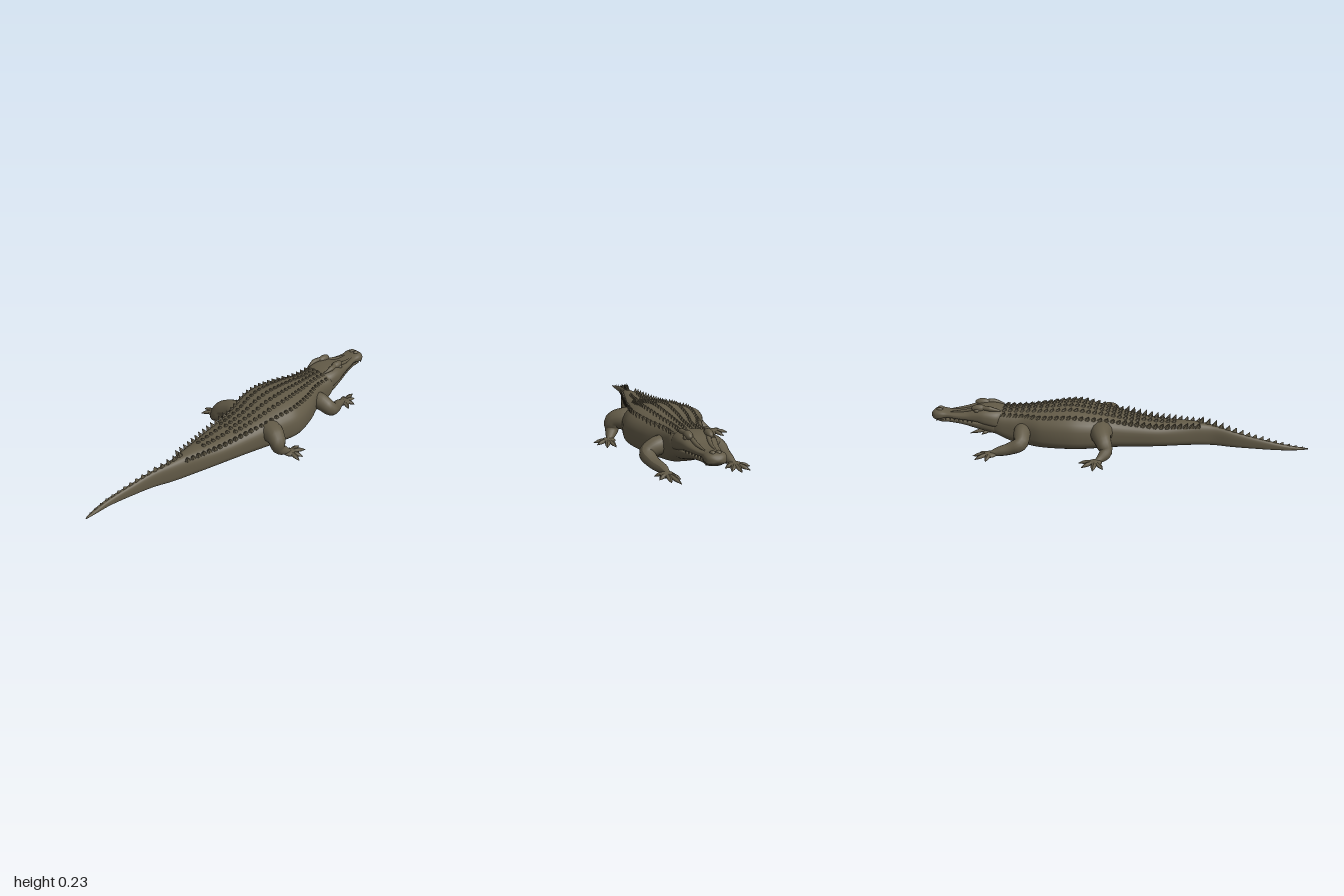
import * as THREE from 'three';
import { mergeGeometries } from 'three/addons/utils/BufferGeometryUtils.js';

const hide = new THREE.MeshStandardMaterial({ color: 0x625a47, side: THREE.DoubleSide });
hide.name = 'olive hide';

// Section rows: z, centre x, half width, bottom y, top y, height of widest point
const BODY = [
  [-0.70, 0.00, 0.070, 0.095, 0.195, 0.14], [-0.64, 0.01, 0.098, 0.065, 0.205, 0.13],
  [-0.57, 0.01, 0.103, 0.030, 0.205, 0.12], [-0.50, 0.015, 0.115, 0.015, 0.207, 0.11],
  [-0.40, 0.020, 0.160, 0.010, 0.214, 0.10], [-0.25, 0.035, 0.195, 0.010, 0.224, 0.10],
  [-0.15, 0.037, 0.183, 0.010, 0.212, 0.10], [-0.05, 0.045, 0.152, 0.010, 0.190, 0.10],
  [0.05, 0.043, 0.128, 0.010, 0.168, 0.09], [0.20, 0.040, 0.100, 0.012, 0.145, 0.08],
  [0.33, 0.043, 0.068, 0.013, 0.140, 0.07], [0.42, 0.044, 0.046, 0.013, 0.135, 0.07],
  [0.50, 0.038, 0.030, 0.013, 0.120, 0.06], [0.60, 0.014, 0.021, 0.013, 0.098, 0.05],
  [0.70, 0.000, 0.018, 0.013, 0.076, 0.04], [0.85, -0.013, 0.015, 0.013, 0.047, 0.028],
  [0.95, -0.006, 0.011, 0.013, 0.028, 0.02], [1.00, 0.003, 0.003, 0.014, 0.020, 0.017]];
const UPPER_JAW = [
  [-0.997, -0.010, 0.022, 0.155, 0.175, 0.163], [-0.98, -0.010, 0.045, 0.142, 0.190, 0.162],
  [-0.95, -0.010, 0.054, 0.145, 0.194, 0.165], [-0.91, -0.010, 0.050, 0.153, 0.186, 0.168],
  [-0.86, -0.008, 0.060, 0.149, 0.185, 0.165], [-0.80, -0.004, 0.074, 0.146, 0.194, 0.163],
  [-0.75, 0.000, 0.088, 0.140, 0.212, 0.165], [-0.70, 0.003, 0.100, 0.125, 0.218, 0.160],
  [-0.64, 0.006, 0.097, 0.110, 0.212, 0.150], [-0.60, 0.008, 0.070, 0.110, 0.200, 0.150]];
const LOWER_JAW = [
  [-0.98, -0.010, 0.020, 0.137, 0.148, 0.143], [-0.95, -0.010, 0.043, 0.128, 0.150, 0.142],
  [-0.90, -0.009, 0.047, 0.126, 0.152, 0.142], [-0.82, -0.005, 0.064, 0.115, 0.148, 0.138],
  [-0.74, 0.000, 0.082, 0.092, 0.146, 0.130], [-0.66, 0.006, 0.092, 0.068, 0.146, 0.120],
  [-0.60, 0.008, 0.070, 0.050, 0.140, 0.100]];

// Smooth interpolation of a section table at z
function sectionAt(rows, z) {
  let i = 0;
  while (i < rows.length - 2 && z > rows[i + 1][0]) i++;
  const a = rows[i], b = rows[i + 1], p = rows[Math.max(i - 1, 0)], n = rows[Math.min(i + 2, rows.length - 1)];
  const d = b[0] - a[0], t = (z - a[0]) / d;
  const [, cx, w, yb, yt, ym] = a.map((v, k) => {
    const ma = (b[k] - p[k]) / (b[0] - p[0]) * d, mb = (n[k] - v) / (n[0] - a[0]) * d;
    const t2 = t * t, t3 = t2 * t;
    return (2 * t3 - 3 * t2 + 1) * v + (t3 - 2 * t2 + t) * ma + (3 * t2 - 2 * t3) * b[k] + (t3 - t2) * mb;
  });
  return { cx, w, yb, yt, ym };
}
const pow = (v, e) => Math.sign(v) * Math.abs(v) ** e;

// Closed skin through superellipse sections
function loft(rows, rings, top, bottom, n = 40) {
  const pos = [], idx = [], z0 = rows[0][0], z1 = rows.at(-1)[0];
  for (let i = 0; i <= rings; i++) {
    const z = z0 + (z1 - z0) * i / rings, s = sectionAt(rows, z);
    for (let j = 0; j < n; j++) {
      const a = j / n * Math.PI * 2, c = Math.cos(a), h = Math.sin(a);
      const e = h >= 0 ? top : bottom;
      pos.push(s.cx + s.w * pow(c, e), s.ym + pow(h, e) * (h >= 0 ? s.yt - s.ym : s.ym - s.yb), z);
      const k = (j + 1) % n, p = i * n;
      if (i < rings) idx.push(p + j, p + k, p + n + j, p + k, p + n + k, p + n + j);
    }
  }
  for (const [r, row] of [[0, rows[0]], [rings, rows.at(-1)]]) {
    const c = pos.length / 3;
    pos.push(row[1], row[5], row[0]);
    for (let j = 0; j < n; j++) {
      const a = r * n + j, b = r * n + (j + 1) % n;
      idx.push(c, r ? a : b, r ? b : a);
    }
  }
  const g = new THREE.BufferGeometry();
  g.setAttribute('position', new THREE.Float32BufferAttribute(pos, 3));
  g.setIndex(idx);
  g.computeVertexNormals();
  return g;
}

// Tube whose radius follows a list of values along its path
function limb(points, radii, flat = 1, steps = 24, sides = 14) {
  const curve = new THREE.CatmullRomCurve3(points.map(p => new THREE.Vector3(...p)));
  const g = new THREE.TubeGeometry(curve, steps, 1, sides), pos = g.attributes.position;
  const v = new THREE.Vector3();
  for (let i = 0; i < pos.count; i++) {
    const t = Math.floor(i / (sides + 1)) / steps, c = curve.getPointAt(t);
    const f = t * (radii.length - 1), k = Math.min(Math.floor(f), radii.length - 2);
    const r = THREE.MathUtils.lerp(radii[k], radii[k + 1], f - k);
    v.fromBufferAttribute(pos, i).sub(c).multiplyScalar(r);
    pos.setXYZ(i, c.x + v.x, c.y + v.y * flat, c.z + v.z);
  }
  g.computeVertexNormals();
  return g;
}
function ball(x, y, z, sx, sy, sz) {
  return new THREE.SphereGeometry(1, 16, 12).scale(sx, sy, sz).translate(x, y, z);
}
// Keeled plate whose point leans toward the tail
function scute(x, y, z, w, h, l, lean = 0) {
  const g = new THREE.ConeGeometry(1, 1, 6, 1).toNonIndexed().translate(0, 0.5, 0).scale(w, h, l);
  const p = g.attributes.position;
  for (let i = 0; i < p.count; i++) p.setZ(i, p.getZ(i) + p.getY(i) / h * l * 0.8);
  g.computeVertexNormals();
  return g.rotateZ(lean).translate(x, y, z);
}

export function createModel() {
  const model = new THREE.Group();
  const add = (name, ...geos) => {
    const mesh = new THREE.Mesh(geos.length > 1 ? mergeGeometries(geos) : geos[0], hide);
    mesh.name = name;
    model.add(mesh);
  };
  add('bodyAndTail', loft(BODY, 110, 0.8, 0.6));
  add('upperJaw', loft(UPPER_JAW, 50, 0.75, 0.6));
  add('lowerJaw', loft(LOWER_JAW, 40, 0.6, 0.8));

  // Head bumps, mirrored about the skull
  for (const s of [-1, 1]) {
    const side = s < 0 ? 'right' : 'left';
    add(side + 'Brow', ball(s * 0.050, 0.212, -0.735, 0.021, 0.022, 0.042));
    add(side + 'Eye', ball(s * 0.066, 0.203, -0.745, 0.011, 0.011, 0.015));
    add(side + 'Nostril', ball(-0.010 + s * 0.014, 0.190, -0.955, 0.013, 0.012, 0.018));
    add(side + 'SnoutRidge', limb([[s * 0.042, 0.205, -0.75], [s * 0.032, 0.188, -0.82], [s * 0.024 - 0.008, 0.181, -0.90]], [0.012, 0.010, 0.004]));
    add(side + 'SkullRidge', limb([[s * 0.05, 0.217, -0.73], [s * 0.062, 0.214, -0.67], [s * 0.058, 0.204, -0.62]], [0.012, 0.014, 0.004]));
    const teeth = [];
    for (let i = 0; i < 9; i++) {
      const z = -0.965 + i * 0.024, u = sectionAt(UPPER_JAW, z);
      teeth.push(new THREE.ConeGeometry(0.005, 0.022, 6).rotateX(Math.PI).translate(u.cx + s * u.w * 0.9, u.yb + 0.001, z));
    }
    add(side + 'Teeth', ...teeth);
  }

  // Rows of back plates, following the curve of the back
  const plates = [];
  for (let i = 0; i < 33; i++) {
    const z = -0.61 + i * 0.032, b = sectionAt(BODY, z);
    const rows = z < 0.12 ? 6 : z < 0.3 ? 4 : 2;
    for (let j = 0; j < rows; j++) {
      const u = (j / (rows - 1) * 2 - 1) * 0.74;
      const y = b.ym + (b.yt - b.ym) * (1 - Math.abs(u) ** 2.5) ** 0.4;
      const edge = Math.abs(u) > 0.7, h = edge && z > 0 ? 0.032 : 0.021;
      plates.push(scute(b.cx + b.w * u, y - 0.006, z, Math.min(0.014, b.w * 0.28), h, 0.018, edge ? -u * 0.45 : 0));
    }
  }
  add('backPlates', ...plates);

  // Single crest along the tail
  const crest = [];
  for (let i = 0; i < 16; i++) {
    const z = 0.43 + i * 0.035, b = sectionAt(BODY, z), k = 1 - i / 22;
    crest.push(scute(b.cx, b.yt - 0.008, z, 0.010 * k, 0.042 * k, 0.021));
  }
  add('tailCrest', ...crest);

  // Limbs: path, radii, palm and toe tips
  const legs = [
    ['leftHindLeg', [[0.10, 0.10, -0.09], [0.19, 0.118, -0.075], [0.245, 0.105, -0.055], [0.255, 0.06, -0.06], [0.275, 0.03, -0.10], [0.29, 0.02, -0.125]],
      [0.06, 0.065, 0.055, 0.043, 0.028, 0.01], [0.285, -0.115], [[0.265, -0.205], [0.312, -0.205], [0.35, -0.145], [0.362, -0.105]]],
    ['rightHindLeg', [[-0.03, 0.10, -0.08], [-0.12, 0.115, -0.085], [-0.19, 0.095, -0.065], [-0.215, 0.055, -0.05], [-0.25, 0.03, -0.075], [-0.28, 0.02, -0.10]],
      [0.06, 0.062, 0.05, 0.040, 0.028, 0.01], [-0.28, -0.10], [[-0.265, -0.185], [-0.325, -0.165], [-0.365, -0.105], [-0.34, -0.055]]],
    ['leftFrontLeg', [[0.07, 0.11, -0.50], [0.14, 0.10, -0.515], [0.19, 0.075, -0.53], [0.175, 0.045, -0.59], [0.145, 0.03, -0.66], [0.14, 0.02, -0.72]],
      [0.045, 0.048, 0.04, 0.032, 0.025, 0.012], [0.142, -0.71], [[0.197, -0.685], [0.188, -0.745], [0.145, -0.795], [0.105, -0.825], [0.09, -0.76]]],
    ['rightFrontLeg', [[-0.05, 0.11, -0.50], [-0.12, 0.10, -0.50], [-0.178, 0.07, -0.50], [-0.19, 0.045, -0.555], [-0.202, 0.03, -0.62], [-0.212, 0.02, -0.66]],
      [0.045, 0.046, 0.04, 0.033, 0.026, 0.012], [-0.212, -0.655], [[-0.285, -0.665], [-0.265, -0.725], [-0.215, -0.745], [-0.175, -0.72], [-0.160, -0.665]]]];
  for (const [name, path, radii, [px, pz], toes] of legs) {
    add(name, limb(path, radii));
    add(name + 'Foot', ball(px, 0.02, pz, 0.036, 0.014, 0.036),
      ...toes.map(([x, z]) => limb([[px, 0.02, pz], [(px + x) / 2, 0.02, (pz + z) / 2], [x, 0.009, z]], [0.016, 0.015, 0.013, 0.002], 0.7, 10, 8)));
  }
  return model;
}
